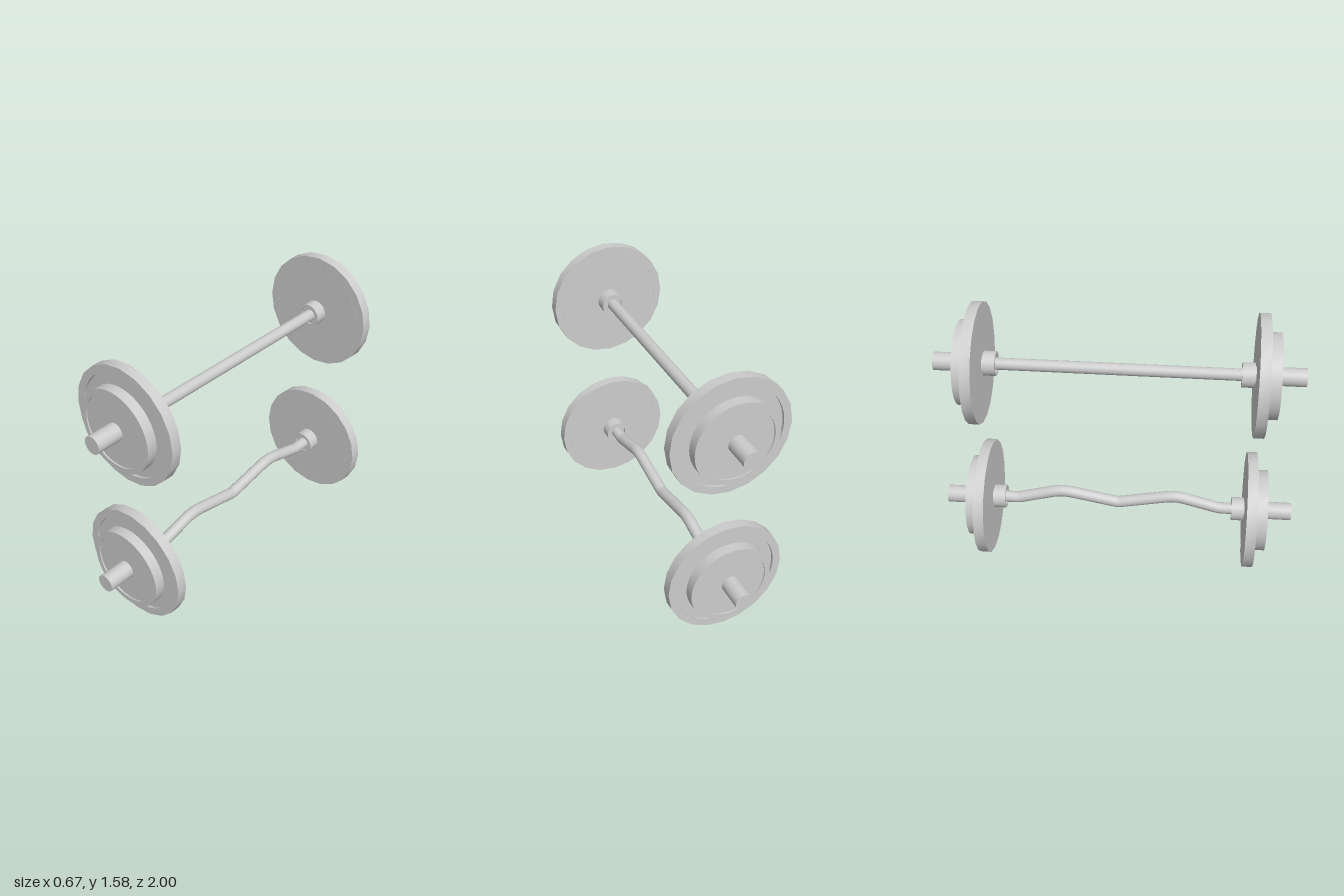
import * as THREE from 'three';
import { toCreasedNormals } from 'three/addons/utils/BufferGeometryUtils.js';

const material = new THREE.MeshStandardMaterial({ color: 0xcccccc });
const PLATE_R = 0.333;

function mesh(name, geometry, z = 0) {
  const m = new THREE.Mesh(geometry, material);
  m.name = name;
  m.position.z = z;
  return m;
}

// Cylinder along z from z0 to z1
function rod(name, r, z0, z1, sides = 32) {
  const g = new THREE.CylinderGeometry(r, r, z1 - z0, sides).rotateX(Math.PI / 2);
  return mesh(name, g, (z0 + z1) / 2);
}

// Ring along z from z0 to z1, with a round hole
function ring(name, outer, inner, z0, z1, sides) {
  const points = [];
  for (let i = 0; i < sides; i++) {
    const a = (i / sides) * Math.PI * 2;
    points.push(new THREE.Vector2(outer * Math.cos(a), outer * Math.sin(a)));
  }
  const shape = new THREE.Shape(points);
  shape.holes.push(new THREE.Path().absarc(0, 0, inner, 0, Math.PI * 2, true));
  const g = new THREE.ExtrudeGeometry(shape, { depth: z1 - z0, bevelEnabled: false, curveSegments: 48 });
  return mesh(name, toCreasedNormals(g, 0.6), z0);
}

// Weight plate: raised rim around a recessed web on the outer face
function plate(name, outer, inner, z0, z1, sides, recess) {
  const g = new THREE.Group();
  g.name = name;
  g.add(ring(name + 'Rim', outer, inner, z0, z1, sides));
  g.add(rod(name + 'Web', inner, z0, z1 - recess, 48));
  return g;
}

// Sleeve, collar and two plates for one end of a bar
function barEnd(name) {
  const g = new THREE.Group();
  g.name = name;
  g.add(rod('sleeve', 0.05, 0.67, 1));
  g.add(ring('collar', 0.067, 0.05, 0.658, 0.727, 32));
  g.add(plate('largePlate', PLATE_R, 0.287, 0.733, 0.791, 20, 0.015));
  g.add(plate('smallPlate', 0.232, 0.202, 0.797, 0.855, 48, 0.008));
  return g;
}

// Zigzag bar with rounded bends
function curlBar() {
  const half = [[0.69, 0], [0.585, 0], [0.33, 0.07]];
  const corners = [...half, [0, 0.004], ...half.map(([z, y]) => [-z, y]).reverse()]
    .map(([z, y]) => new THREE.Vector3(0, y, z));
  const path = new THREE.CurvePath();
  let start = corners[0];
  for (let i = 1; i < corners.length - 1; i++) {
    const c = corners[i];
    const round = i === 2 || i === 4 ? 0.06 : 0.015;
    const toward = (p) => c.clone().add(p.clone().sub(c).setLength(round));
    const a = toward(corners[i - 1]);
    const b = toward(corners[i + 1]);
    path.add(new THREE.LineCurve3(start, a));
    path.add(new THREE.QuadraticBezierCurve3(a, c, b));
    start = b;
  }
  path.add(new THREE.LineCurve3(start, corners[corners.length - 1]));
  return mesh('curlBar', new THREE.TubeGeometry(path, 140, 0.033, 20));
}

function barbell(name, bar, y) {
  const g = new THREE.Group();
  g.name = name;
  g.position.y = y;
  const back = barEnd('backEnd');
  back.rotation.y = Math.PI;
  g.add(bar, barEnd('frontEnd'), back);
  return g;
}

export function createModel() {
  const model = new THREE.Group();
  model.name = 'barbellPair';
  model.add(barbell('straightBarbell', rod('straightBar', 0.033, -0.69, 0.69, 20), 1.244));
  model.add(barbell('curlBarbell', curlBar(), PLATE_R));
  return model;
}
